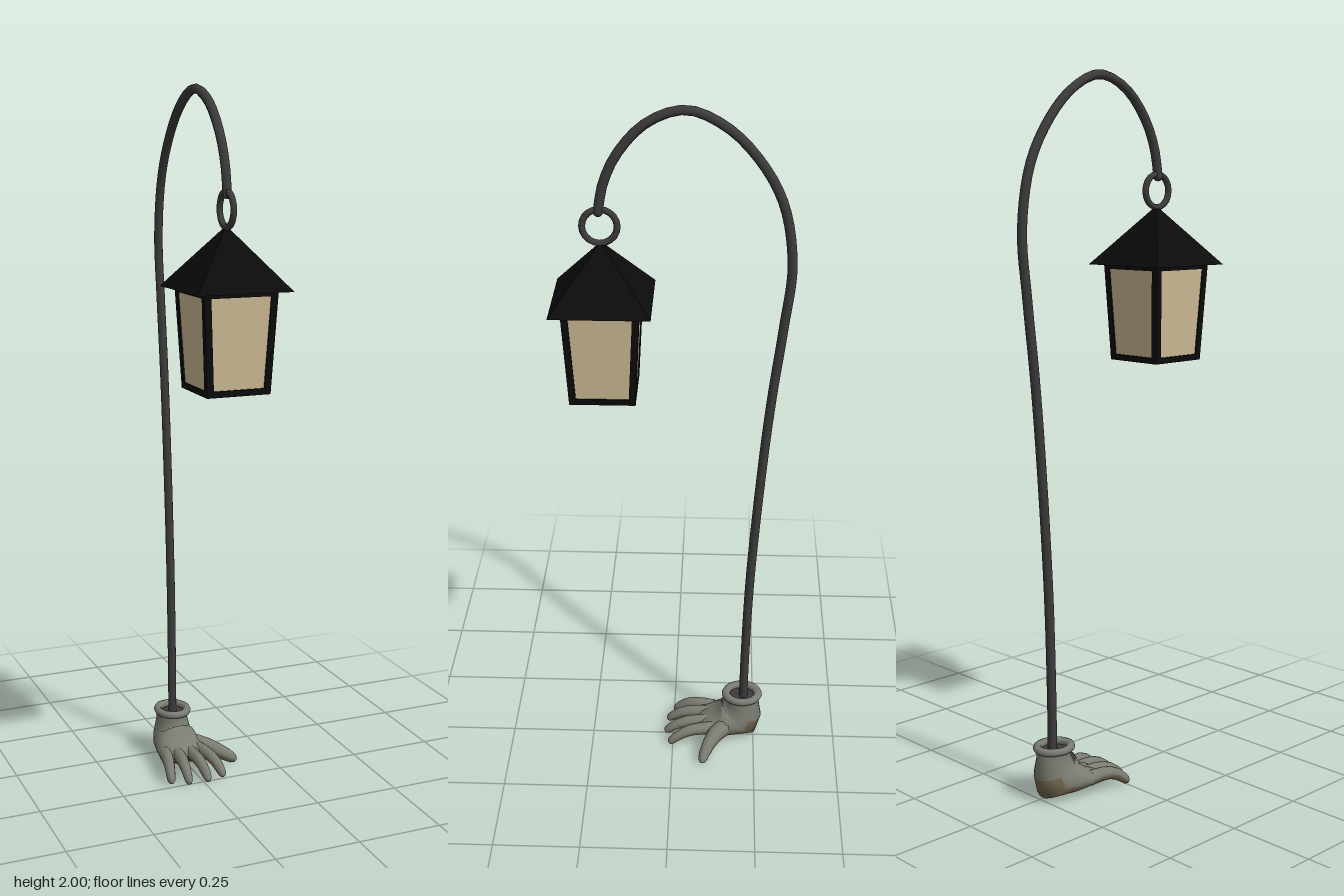
import * as THREE from 'three';

const V = (x, y, z) => new THREE.Vector3(x, y, z);
const mat = (name, color, extra = {}) => Object.assign(new THREE.MeshStandardMaterial({ color, ...extra }), { name });

// Skin through elliptical sections {c, u, v, ru, rv}; the lower side is group 1
function loft(sections, n, lowerFrom) {
  const pos = [], upper = [], lower = [];
  for (const { c, u, v, ru, rv } of sections) {
    for (let j = 0; j < n; j++) {
      const a = (j / n) * Math.PI * 2;
      const p = c.clone().addScaledVector(u, ru * Math.cos(a)).addScaledVector(v, rv * Math.sin(a));
      pos.push(p.x, p.y, p.z);
    }
  }
  for (let i = 0; i < sections.length - 1; i++) {
    for (let j = 0; j < n; j++) {
      const a = i * n + j, b = i * n + (j + 1) % n;
      const under = Math.sin(((j + 0.5) / n) * Math.PI * 2) < -0.3 && i >= lowerFrom;
      (under ? lower : upper).push(a, b, a + n, b, b + n, a + n);
    }
  }
  const g = new THREE.BufferGeometry();
  g.setAttribute('position', new THREE.Float32BufferAttribute(pos, 3));
  g.setIndex([...upper, ...lower]);
  g.addGroup(0, upper.length, 0);
  g.addGroup(upper.length, lower.length, 1);
  g.computeVertexNormals();
  return g;
}

// Tapered digit along a curve, closed with a rounded tip
function digit(points, r0, r1) {
  const curve = new THREE.CatmullRomCurve3(points.map(p => V(...p)));
  const steps = [0, 0.2, 0.4, 0.6, 0.8, 0.92, 0.98, 1];
  const tip = [1, 1, 1, 1, 1, 0.9, 0.55, 0.02];
  return loft(steps.map((t, i) => {
    const dir = curve.getTangent(t);
    const u = V(0, 1, 0).cross(dir).normalize();
    const v = dir.clone().cross(u);
    const r = THREE.MathUtils.lerp(r0, r1, t) * tip[i];
    return { c: curve.getPoint(t), u, v, ru: r, rv: r * 1.1 };
  }), 10, 0);
}

export function createModel() {
  const root = new THREE.Group();
  const iron = mat('darkIron', 0x3d3b3b);
  const black = mat('blackMetal', 0x0b0b0b, { flatShading: true });
  const pane = mat('creamGlass', 0xcbba94, { flatShading: true });
  const skin = [mat('greySkin', 0x7b7c72, { side: THREE.DoubleSide }), mat('brownSkin', 0x736850, { side: THREE.DoubleSide })];
  const add = (parent, name, geometry, material, x = 0, y = 0, z = 0) => {
    const m = new THREE.Mesh(geometry, material);
    m.name = name;
    m.position.set(x, y, z);
    parent.add(m);
    return m;
  };
  const X = -0.015;

  // Bent pole
  const path = [[0.09, -0.216], [0.3, -0.218], [0.6, -0.227], [1, -0.253], [1.2, -0.271], [1.4, -0.294], [1.58, -0.31],
    [1.75, -0.28], [1.87, -0.21], [1.95, -0.125], [1.987, -0.03], [1.953, 0.068], [1.87, 0.145], [1.79, 0.181], [1.72, 0.194]];
  const curve = new THREE.CatmullRomCurve3(path.map(([y, z]) => V(X, y, z)));
  add(root, 'pole', new THREE.TubeGeometry(curve, 72, 0.013, 8), iron);
  add(root, 'poleTip', new THREE.SphereGeometry(0.014, 8, 6), iron, X, 1.72, 0.194);

  // Hanging ring
  const ring = add(root, 'hangingRing', new THREE.TorusGeometry(0.046, 0.009, 8, 20), iron, X, 1.68, 0.191);
  ring.rotation.y = Math.PI / 2;

  // Lantern
  const lantern = new THREE.Group();
  lantern.name = 'lantern';
  lantern.position.set(X, 0, 0.188);
  root.add(lantern);
  const S = Math.SQRT2;
  const frustum = (top, bottom, h) => new THREE.CylinderGeometry(top * S, bottom * S, h, 4).rotateY(Math.PI / 4);
  add(lantern, 'roof', frustum(0.007, 0.134, 0.155), black, 0, 1.5525, 0);
  add(lantern, 'glass', frustum(0.1, 0.086, 0.26), pane, 0, 1.345, 0);
  add(lantern, 'basePlate', frustum(0.0905, 0.0895, 0.017), black, 0, 1.2135, 0);
  add(lantern, 'topRail', frustum(0.1035, 0.103, 0.012), black, 0, 1.469, 0);

  // Corner posts leaning with the glass
  for (const sx of [-1, 1]) {
    for (const sz of [-1, 1]) {
      const post = new THREE.BoxGeometry(0.019, 0.27, 0.019);
      const p = post.attributes.position;
      for (let i = 0; i < p.count; i++) {
        const shift = p.getY(i) > 0 ? 0.094 : 0.08;
        p.setX(i, p.getX(i) + sx * shift);
        p.setZ(i, p.getZ(i) + sz * shift);
      }
      add(lantern, 'cornerPost', post, black, 0, 1.34, 0);
    }
  }

  // Hand-shaped foot
  const hand = new THREE.Group();
  hand.name = 'handFoot';
  root.add(hand);

  // Wrist and palm: y, z, tilt in degrees, half width, half depth
  const palm = [
    [0.165, -0.212, 0, 0.048, 0.052], [0.14, -0.214, 0, 0.046, 0.05], [0.1, -0.214, 15, 0.055, 0.061],
    [0.08, -0.203, 45, 0.062, 0.076], [0.067, -0.16, 74, 0.07, 0.047], [0.06, -0.12, 88, 0.075, 0.03],
    [0.06, -0.09, 90, 0.068, 0.02], [0.06, -0.078, 90, 0.055, 0.004],
  ].map(([y, z, deg, ru, rv]) => {
    const t = THREE.MathUtils.degToRad(deg);
    return { c: V(-0.018, y, z), u: V(1, 0, 0), v: V(0, Math.sin(t), Math.cos(t)), ru, rv };
  });
  add(hand, 'palm', loft(palm, 18, 2), skin);

  // Cuff around the wrist, with a dark opening
  const cuff = add(hand, 'cuff', new THREE.TorusGeometry(0.045, 0.012, 8, 18).rotateX(Math.PI / 2), skin[0], -0.017, 0.164, -0.212);
  cuff.scale.set(0.97, 0.95, 1.1);
  add(hand, 'cuffOpening', new THREE.CylinderGeometry(0.044, 0.044, 0.004, 16), iron, -0.017, 0.155, -0.212);

  // Fingers: base x, tip x, tip z
  for (const [bx, tx, tz] of [[-0.073, -0.1, -0.002], [-0.04, -0.052, 0.02], [-0.002, 0.007, 0.026], [0.031, 0.06, 0.012]]) {
    const at = (k, y) => [bx + (tx - bx) * k, y, -0.125 + (tz + 0.125) * k];
    add(hand, 'finger', digit([at(0, 0.063), at(0.45, 0.066), at(0.75, 0.052), at(1, 0.024)], 0.02, 0.012), skin);
  }
  add(hand, 'thumb', digit([[0.01, 0.066, -0.175], [0.055, 0.064, -0.135], [0.1, 0.047, -0.108], [0.144, 0.019, -0.09]], 0.03, 0.014), skin);

  // Rest the lowest point on the ground
  root.updateMatrixWorld(true);
  const low = new THREE.Box3().setFromObject(root, true).min.y;
  hand.position.y -= low;
  return root;
}
